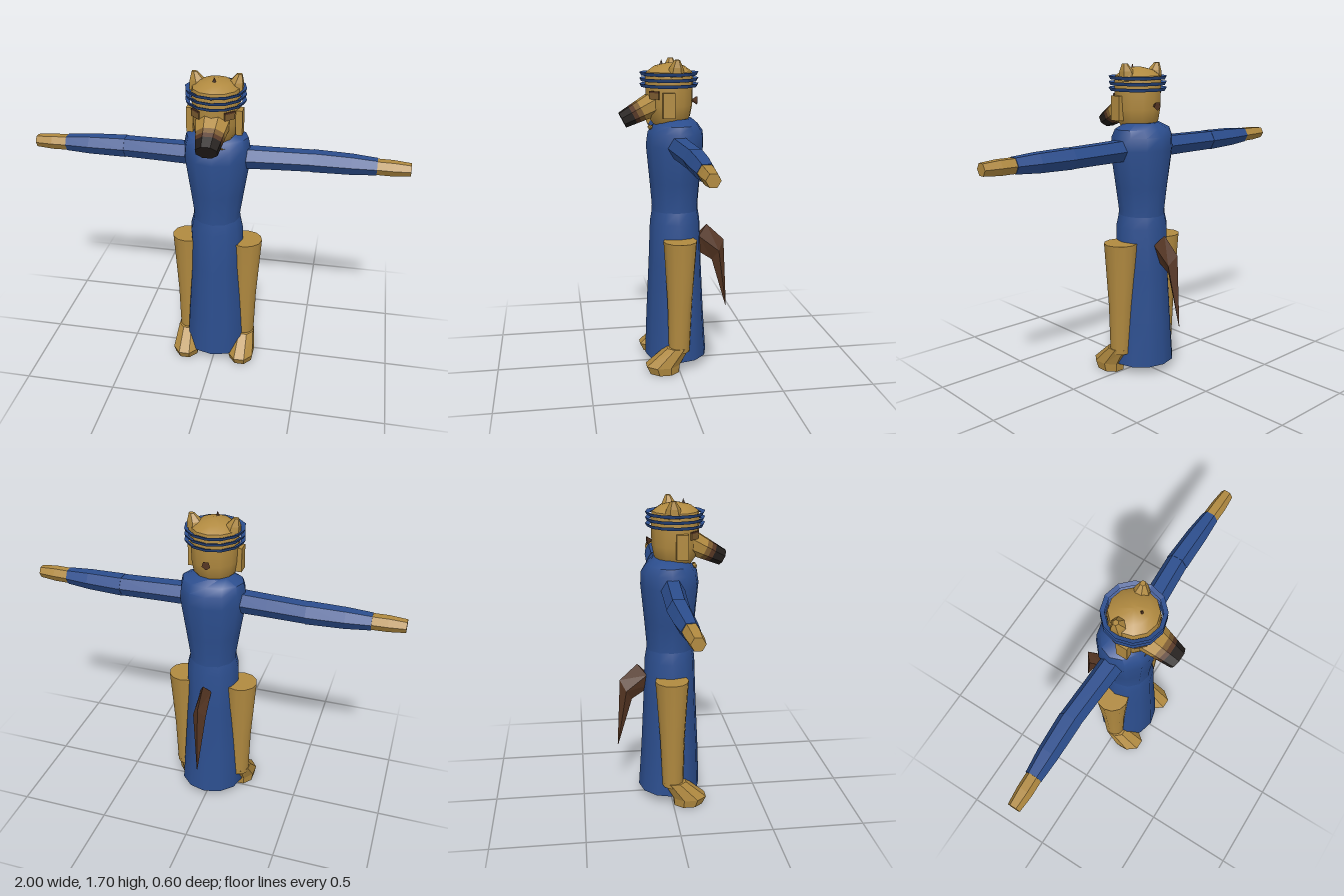
import * as THREE from 'three';
import { toCreasedNormals } from 'three/addons/utils/BufferGeometryUtils.js';

const mat = (name, color, side = THREE.FrontSide) => {
  const m = new THREE.MeshStandardMaterial({ color, side });
  m.name = name;
  return m;
};

// Loft elliptical rings [y, rx, rz, cx, cz, slant] upwards; slant tilts a ring
// along z, and crease 0 gives flat facets
function loft(rings, n, { crease = 0, caps = true, phase = 0 } = {}) {
  const pos = [], idx = [];
  for (const [y, rx, rz, cx = 0, cz = 0, slant = 0] of rings) {
    for (let i = 0; i < n; i++) {
      const a = ((i + phase) / n) * Math.PI * 2;
      const dz = rz * Math.cos(a);
      pos.push(cx + rx * Math.sin(a), y + dz * slant, cz + dz);
    }
  }
  for (let j = 0; j < rings.length - 1; j++) {
    for (let i = 0; i < n; i++) {
      const a = j * n + i, b = j * n + ((i + 1) % n);
      idx.push(a, b, b + n, a, b + n, a + n);
    }
  }
  if (caps) {
    const top = (rings.length - 1) * n;
    for (let i = 1; i < n - 1; i++) {
      idx.push(0, i + 1, i, top, top + i, top + i + 1);
    }
  }
  const g = new THREE.BufferGeometry();
  g.setAttribute('position', new THREE.Float32BufferAttribute(pos, 3));
  g.setIndex(idx);
  if (crease) return toCreasedNormals(g, crease);
  const flat = g.toNonIndexed();
  flat.computeVertexNormals();
  return flat;
}

export function createModel() {
  const model = new THREE.Group();
  const fur = mat('tan fur', 0xb18a40);
  const cloth = mat('blue cloth', 0x2c4e8e, THREE.DoubleSide);
  const brown = mat('brown', 0x563623);
  const muzzleBrown = mat('muzzle brown', 0x7d5c30);
  const black = mat('nose black', 0x221d1a);

  const add = (name, geo, material, parent = model) => {
    const m = new THREE.Mesh(geo, material);
    m.name = name;
    parent.add(m);
    return m;
  };

  // Robe: bodice and open flared skirt
  add('bodice', loft([
    [0.82, 0.135, 0.13], [0.92, 0.128, 0.127], [1.05, 0.148, 0.138],
    [1.25, 0.18, 0.157], [1.32, 0.174, 0.15, 0, -0.003],
    [1.36, 0.165, 0.12, 0, -0.005], [1.39, 0.1, 0.085, 0, -0.005],
  ], 12, { crease: 0.7 }), cloth);
  add('skirt', loft([
    [0.05, 0.18, 0.175, 0, -0.004], [0.3, 0.165, 0.162],
    [0.6, 0.145, 0.147], [0.83, 0.145, 0.138], [0.9, 0.128, 0.126],
  ], 12, { crease: 0.7, caps: false }), cloth);

  for (const s of [-1, 1]) {
    const side = s > 0 ? 'left' : 'right';

    // Legs and feet
    add(side + 'Leg', loft([
      [0.12, 0.058, 0.058, s * 0.16], [0.4, 0.067, 0.068, s * 0.16, -0.003],
      [0.75, 0.092, 0.091, s * 0.16, -0.005],
    ], 12, { crease: 0.7 }), fur);
    add(side + 'Foot', loft([
      [0, 0.069, 0.085, s * 0.162, 0.085], [0.045, 0.077, 0.098, s * 0.162, 0.094],
      [0.145, 0.06, 0.067, s * 0.165, 0.008],
    ], 8, { phase: 0.5 }), fur);

    // Arms run straight out along x
    const limb = (name, rings, material) => {
      const g = loft(rings.map(([x, r, cz]) => [x, r, r, 0, cz]), 6);
      g.rotateZ(-s * Math.PI / 2);
      add(side + name, g, material).position.y = 1.25;
    };
    limb('UpperSleeve', [[0.13, 0.063, 0], [0.3, 0.06, -0.008], [0.503, 0.058, -0.018]], cloth);
    limb('LowerSleeve', [[0.503, 0.06, -0.018], [0.7, 0.055, -0.013], [0.83, 0.045, -0.008]], cloth);
    limb('Hand', [[0.82, 0.042, -0.007], [0.91, 0.042, -0.004], [1, 0.034, -0.002]], fur);
  }

  // Tail: leaves the back, bends, then tapers to a point
  add('tail', loft([
    [0.31, 0.002, 0.002, 0, -0.296], [0.645, 0.036, 0.033, 0, -0.245, -1.75],
    [0.735, 0.03, 0.05, 0, -0.13, -1.2],
  ], 4), brown);

  // Head
  const head = new THREE.Group();
  head.name = 'head';
  head.position.z = 0.03;
  model.add(head);
  add('skull', loft([
    [1.36, 0.085, 0.085], [1.4, 0.113, 0.113], [1.46, 0.122, 0.125],
    [1.6, 0.128, 0.128], [1.635, 0.122, 0.122], [1.665, 0.08, 0.08], [1.68, 0.015, 0.015],
  ], 12, { crease: 0.7 }), fur, head);

  for (const s of [-1, 1]) {
    const side = s > 0 ? 'left' : 'right';
    add(side + 'Ear', loft([
      [1.61, 0.05, 0.05, s * 0.092, -0.02], [1.66, 0.04, 0.036, s * 0.1, -0.022],
      [1.7, 0.015, 0.014, s * 0.115, -0.025],
    ], 6), fur, head);
    add(side + 'Cheek', new THREE.BoxGeometry(0.035, 0.13, 0.062), fur, head)
      .position.set(s * 0.127, 1.468, 0.021);
    // Eye plates lie against the curve of the skull
    const eye = add(side + 'Eye', new THREE.BoxGeometry(0.062, 0.034, 0.008), muzzleBrown, head);
    eye.position.set(s * 0.086, 1.515, 0.09);
    eye.rotation.y = s * 0.76;
    const brow = add(side + 'Brow', new THREE.BoxGeometry(0.062, 0.009, 0.009), brown, head);
    brow.position.set(s * 0.087, 1.535, 0.091);
    brow.rotation.y = s * 0.76;
    // Small claw-like ornaments at the neckline
    const claw = add(side + 'CollarClaw', new THREE.ConeGeometry(0.014, 0.06, 5), fur);
    claw.position.set(s * 0.038, 1.343, 0.133);
    claw.rotation.z = -s * Math.PI / 2;
  }

  // Muzzle in bands along a forward, downward axis
  const muzzle = new THREE.Group();
  muzzle.name = 'muzzle';
  muzzle.position.set(0, 1.475, 0.07);
  muzzle.rotation.x = 2.04;
  head.add(muzzle);
  const at = (t) => [t, 0.094 - t * 0.17, 0.069 - t * 0.12];
  [['muzzleBase', 0, 0.09, fur], ['muzzleBand', 0.09, 0.118, muzzleBrown],
    ['muzzleFront', 0.118, 0.142, brown], ['nose', 0.142, 0.203, black],
  ].forEach(([name, a, b, m]) => add(name, loft([at(a), at(b)], 8, { phase: 0.5 }), m, muzzle));

  // Three flared headbands
  [1.556, 1.586, 1.616].forEach((y, i) => add('headband' + (i + 1), loft([
    [y + 0.01, 0.136, 0.136], [y, 0.148, 0.148], [y + 0.018, 0.158, 0.158], [y + 0.01, 0.136, 0.136],
  ], 12, { caps: false }), cloth, head));

  // Dark tufts on the crown and the back of the head
  add('crownTuft', new THREE.ConeGeometry(0.013, 0.035, 4), brown, head).position.set(0, 1.68, 0.042);
  const knot = add('backTuft', new THREE.ConeGeometry(0.024, 0.035, 5), brown, head);
  knot.position.set(0, 1.482, -0.133);
  knot.rotation.x = Math.PI / 2;

  return model;
}
